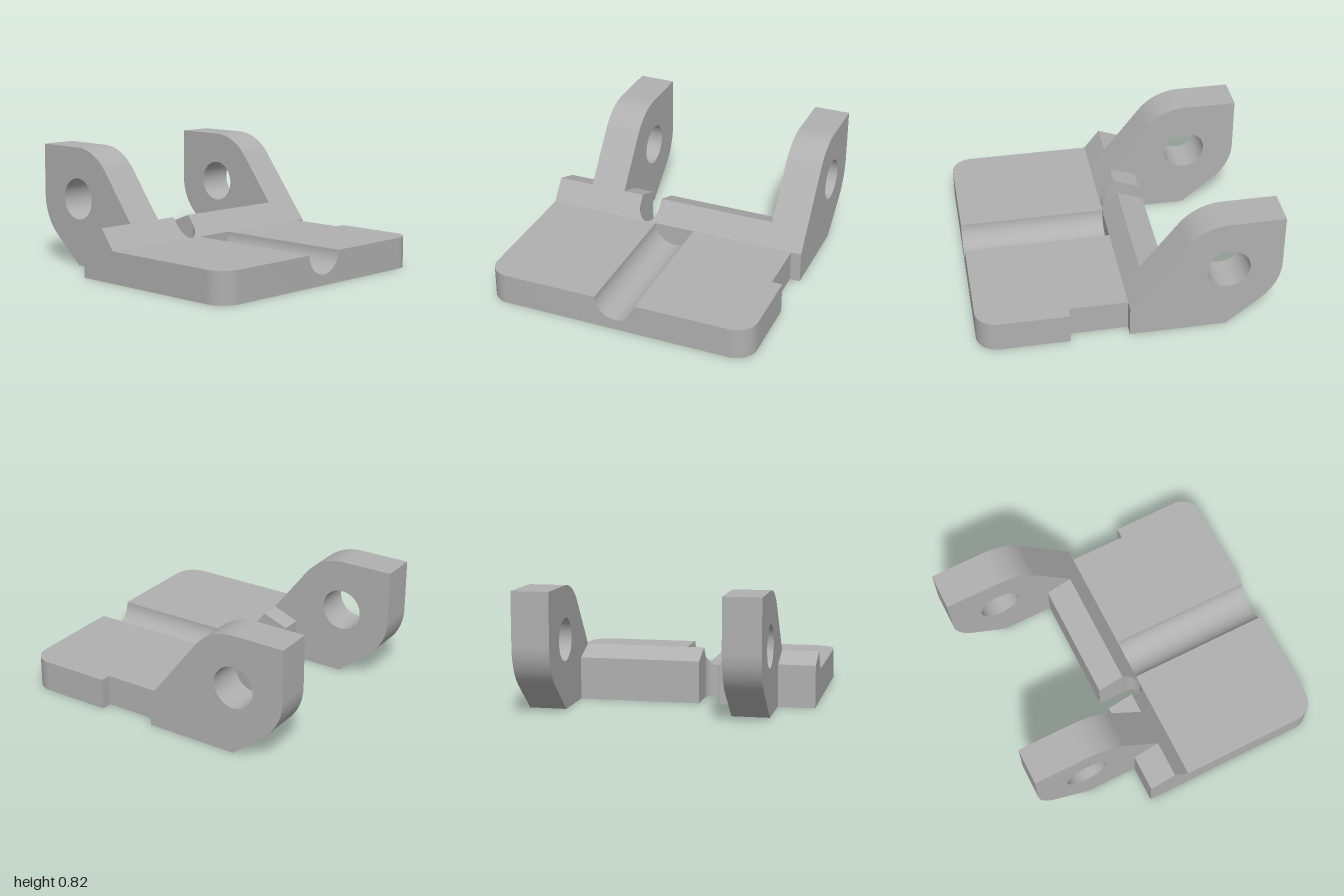
import * as THREE from 'three';
import { toCreasedNormals } from 'three/addons/utils/BufferGeometryUtils.js';

const U = 1 / 28; // one design unit
const H = 6 * U; // plate thickness
const D = 2 * U; // pocket depth, also the floor below the groove

const grey = new THREE.MeshStandardMaterial({ color: 0xb0b0b0 });

function mesh(name, geometry) {
  const m = new THREE.Mesh(toCreasedNormals(geometry, 0.5), grey);
  m.name = name;
  return m;
}

const extrude = (shape, depth) =>
  new THREE.ExtrudeGeometry(shape, { depth, bevelEnabled: false, curveSegments: 32 });

// Extrusion along z between z0 and z1 of a shape drawn in (x, y)
const alongZ = (shape, z0, z1) => extrude(shape, z1 - z0).translate(0, 0, z0);

// Extrusion upwards between y0 and y1 of a shape drawn in (x, -z)
const upwards = (shape, y0, y1) =>
  extrude(shape, y1 - y0).rotateX(-Math.PI / 2).translate(0, y0, 0);

const polygon = (pts) => new THREE.Shape(pts.map(([a, b]) => new THREE.Vector2(a, b)));

// Points of a quarter circle of radius r about (cx, cy)
function arc(cx, cy, r, a0, a1, n = 20) {
  return Array.from({ length: n + 1 }, (_, i) => {
    const a = a0 + ((a1 - a0) * i) / n;
    return [cx + r * Math.cos(a), cy + r * Math.sin(a)];
  });
}

// Square corner left over beside a round cut of radius r
const cornerPiece = (r, side) =>
  [...arc(0, r, r, -Math.PI / 2, 0), [r, 0]].map(([a, b]) => [a * side, b]);

export function createModel() {
  const model = new THREE.Group();
  model.name = 'hingeBracket';
  const add = (name, geometry) => model.add(mesh(name, geometry));

  const W = 26 * U; // half width
  const R = 4 * U; // plate corner and groove radius
  const front = arc(1 - R, -W + R, R, -Math.PI / 2, 0);
  const back = arc(1 - R, W - R, R, 0, Math.PI / 2);
  const notch = [[11 * U, W], [11 * U, 24 * U], [0, 24 * U]];

  // Plate floor with two rectangular pockets opening downwards
  const floor = polygon([[0, -W], ...front, ...back, ...notch]);
  for (const s of [-1, 1]) {
    const z0 = s * 7 * U, z1 = s * 17 * U;
    floor.holes.push(new THREE.Path([[11, z0], [11, z1], [26, z1], [26, z0]]
      .map(([x, z]) => new THREE.Vector2(x * U, z))));
  }
  add('plateFloor', upwards(floor, 0, D));

  // Plate top on both sides of the groove
  add('plateTopFront', upwards(polygon([[0, -W], ...front, [1, -R], [0, -R]]), D, H));
  add('plateTopBack', upwards(polygon([[0, R], [1, R], ...back, ...notch]), D, H));

  // Round groove running along x
  for (const s of [-1, 1]) {
    add('grooveSide', extrude(polygon(cornerPiece(R, s)), 1)
      .rotateY(Math.PI / 2).translate(0, D, 0));
  }

  // Arm outline: an arc about the pin hole with straight tangents
  const cx = -18 * U, cy = 13 * U, r = 10 * U;
  const toSlope = Math.atan2(H - cy, -cx) + Math.acos(r / Math.hypot(cx, H - cy));
  const toFoot = -Math.PI / 2 - Math.acos(r / cy);
  const arm = polygon([
    [cx, 0], [0, 0], [0, H],
    ...arc(cx, cy, r, toSlope, Math.PI / 2),
    [-1, cy + r],
    ...arc(cx, cy, r, -Math.PI, toFoot),
  ]);
  const pinHole = new THREE.Path();
  pinHole.absarc(cx, cy, 4 * U, 0, Math.PI * 2, true);
  arm.holes.push(pinHole);
  add('frontArm', alongZ(arm, 12 * U, 19 * U));
  add('backArm', alongZ(arm, -W, -19 * U));

  // Ridge behind the plate, interrupted by the arms and the slot
  const slope = 1 / Math.tan(toSlope);
  const ridge = polygon([
    [-8 * U, 0], [0, 0], [0, H], [-3 * U, H + 3 * U * slope], [-8 * U, 8 * U],
  ]);
  for (const [z0, z1] of [[-19, 4], [8, 12], [19, 26]]) {
    add('ridge', alongZ(ridge, z0 * U, z1 * U));
  }

  // Rounded slot end, its top moved onto the ridge slope
  for (const s of [-1, 1]) {
    const g = upwards(polygon(cornerPiece(2 * U, s).map(([a, b]) => [-b, a])), 0, H);
    const p = g.attributes.position;
    for (let i = 0; i < p.count; i++) {
      if (p.getY(i) > H / 2) p.setY(i, H - p.getX(i) * slope);
    }
    add('slotEnd', g.translate(0, 0, 6 * U));
  }

  return model;
}
